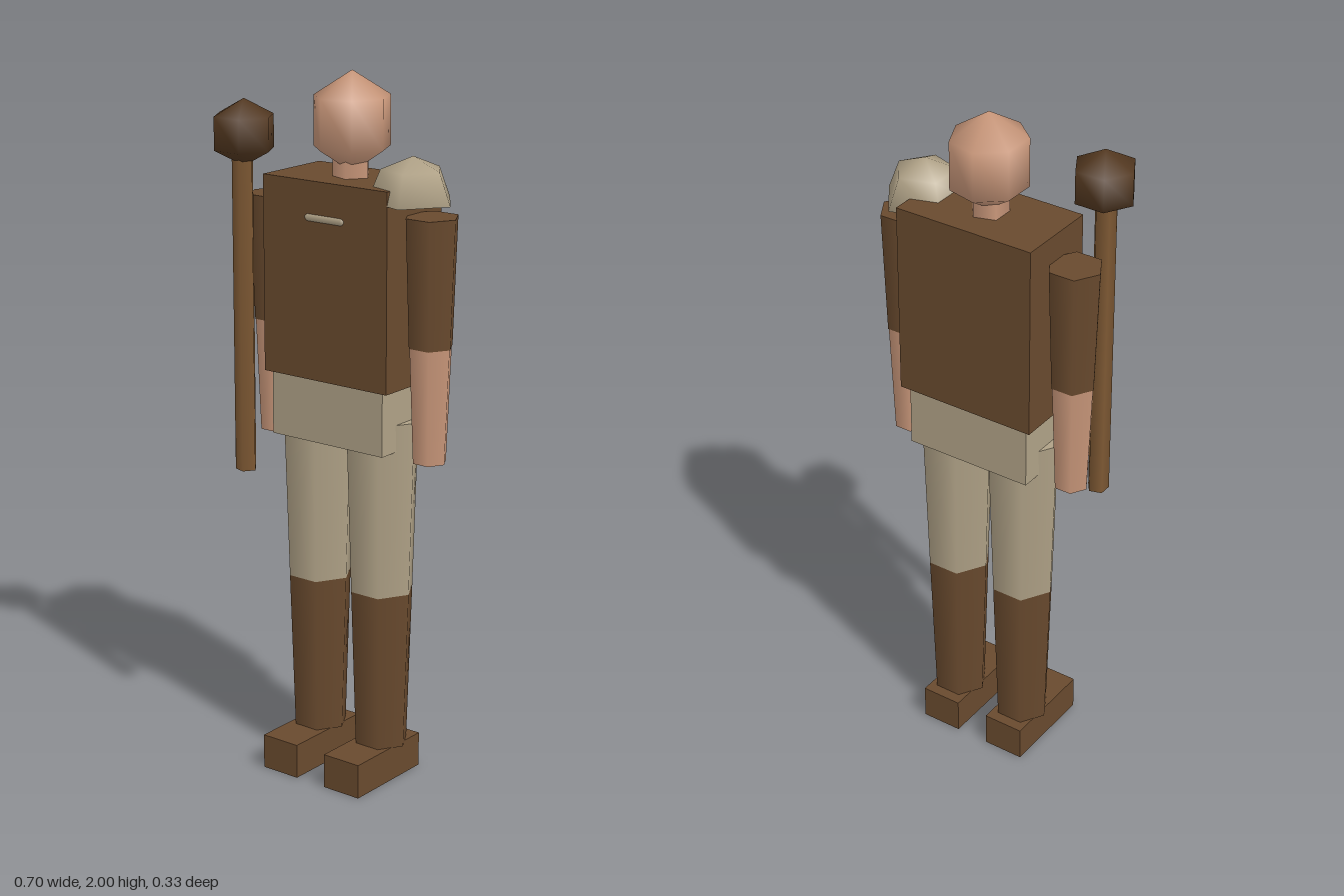
import * as THREE from 'three';

const mat = (name, color, side = THREE.FrontSide) => {
  const m = new THREE.MeshStandardMaterial({ color, side });
  m.name = name;
  return m;
};

export function createModel() {
  const model = new THREE.Group();
  model.name = 'clubFighter';

  const skin = mat('skin', 0xc9977a);
  const leather = mat('leather', 0x694a2e);
  const cloth = mat('cloth', 0xb0a287, THREE.DoubleSide);
  const darkWood = mat('darkWood', 0x533820);
  const wood = mat('wood', 0x7d5833);

  // Body axis
  const CX = 0.004, CZ = -0.044;

  const add = (name, geometry, material, x, y, z) => {
    const mesh = new THREE.Mesh(geometry, material);
    mesh.name = name;
    mesh.position.set(x, y, z);
    model.add(mesh);
    return mesh;
  };
  const box = (name, material, w, y0, y1, d, x, z) =>
    add(name, new THREE.BoxGeometry(w, y1 - y0, d), material, x, (y0 + y1) / 2, z);
  // Upright tapered prism with one corner pointing to +x
  const limb = (name, material, rTop, rBottom, y0, y1, x, z, sides = 6) =>
    add(name, new THREE.CylinderGeometry(rTop, rBottom, y1 - y0, sides, 1, false, Math.PI / 2),
      material, x, (y0 + y1) / 2, z);
  // Low-poly ball with one corner pointing to +x
  const ball = (name, material, rx, ry, rz, sides, x, y, z) =>
    add(name, new THREE.SphereGeometry(1, sides, 3, Math.PI).scale(rx, ry, rz), material, x, y, z);

  // Trunk
  box('torso', leather, 0.42, 1.164, 1.714, 0.244, CX, CZ);
  box('hips', cloth, 0.38, 0.984, 1.164, 0.218, CX, -0.041);
  limb('neck', skin, 0.053, 0.053, 1.69, 1.79, CX, CZ, 5);
  ball('head', skin, 0.12, 0.138, 0.127, 7, CX, 1.862, CZ);

  // Arms and legs
  for (const [label, s] of [['left', 1], ['right', -1]]) {
    const ax = CX + s * 0.267, lx = CX + s * 0.11;
    limb(label + 'UpperArm', leather, 0.076, 0.064, 1.283, 1.637, ax, CZ);
    limb(label + 'Forearm', skin, 0.062, 0.049, 0.96, 1.283, ax, CZ);
    limb(label + 'Thigh', cloth, 0.108, 0.093, 0.56, 1.06, lx, CZ + 0.003);
    limb(label + 'Boot', leather, 0.093, 0.078, 0.098, 0.56, lx, CZ + 0.003);
    box(label + 'Foot', leather, 0.121, 0, 0.1, 0.286, lx, 0.002);
  }

  // Chest clasp
  add('clasp', new THREE.CapsuleGeometry(0.013, 0.113, 2, 8).rotateZ(Math.PI / 2),
    cloth, CX, 1.614, 0.07);

  // Open dome on the left shoulder
  add('shoulderPad', new THREE.SphereGeometry(0.1215, 5, 2, Math.PI, Math.PI * 2, 0, Math.PI / 2),
    cloth, 0.2245, 1.675, -0.021);

  // Club beside the right hand
  limb('clubHandle', wood, 0.031, 0.031, 0.87, 1.76, -0.264, 0.092, 5);
  ball('clubHead', darkWood, 0.0993, 0.092, 0.0993, 6, -0.263, 1.823, 0.0885);

  return model;
}
